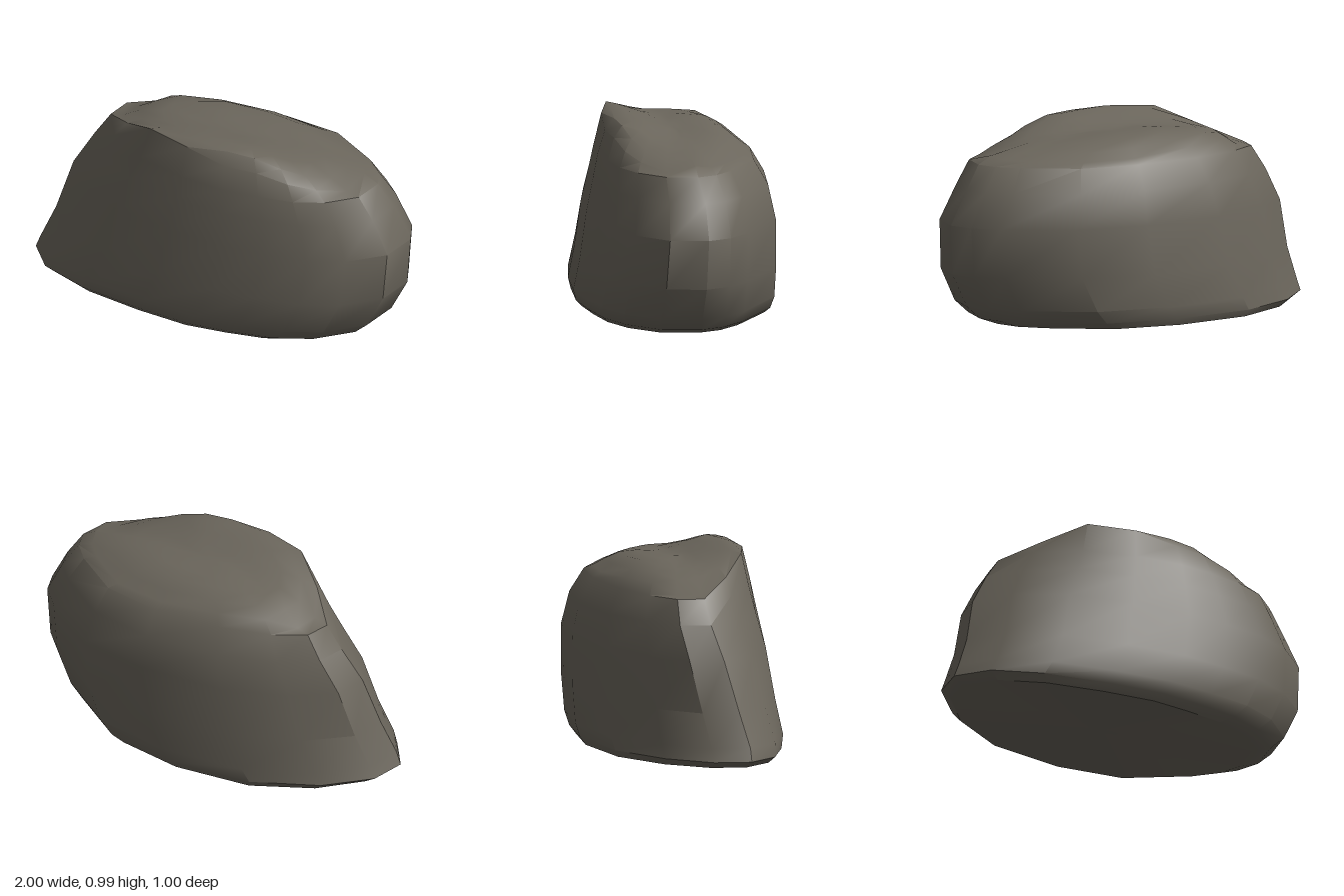
import * as THREE from 'three';
import { toCreasedNormals } from 'three/addons/utils/BufferGeometryUtils.js';

// Plan outline of the boulder, counterclockwise from its left tip (x, z in -1..1)
const outline = [
  [1, 0.06], [0.95, -0.2], [0.83, -0.44], [0.49, -0.88], [0.08, -1], [-0.4, -0.9],
  [-0.75, -0.56], [-0.96, -0.14], [-1, 0.24], [-0.87, 0.56], [-0.6, 0.78],
  [-0.25, 0.92], [0.08, 1], [0.33, 0.97], [0.57, 0.91], [0.77, 0.76], [0.95, 0.46],
];

// Wall sections: y, xMin, xMax, zMin, zMax
const sections = [
  [0, -0.94, 0.73, -0.47, 0.44],
  [0.035, -1, 0.83, -0.49, 0.475],
  [0.1, -0.975, 0.9, -0.5, 0.5],
  [0.27, -0.905, 0.985, -0.49, 0.485],
  [0.52, -0.835, 1, -0.48, 0.46],
  [0.69, -0.735, 0.91, -0.445, 0.425],
  [0.81, -0.655, 0.83, -0.375, 0.4],
];

// Crown profiles: along x, across the middle, and across the ends
const alongX = [[-0.66, 0.81], [-0.47, 0.94], [-0.37, 0.975], [-0.1, 1], [0.22, 0.99], [0.47, 0.95], [0.8, 0.84], [0.88, 0.75]];
const acrossMiddle = [[-0.375, 0.81], [-0.295, 0.88], [-0.2, 0.93], [-0.1, 0.938], [0.02, 0.935], [0.25, 1], [0.315, 0.99], [0.365, 0.93], [0.395, 0.84]];
const acrossEnds = [[-0.375, 0.78], [-0.2, 0.92], [0.02, 1], [0.28, 0.92], [0.39, 0.8]];

function sample(profile, t) {
  if (t <= profile[0][0]) return profile[0][1];
  for (let i = 1; i < profile.length; i++) {
    const [a, ya] = profile[i - 1], [b, yb] = profile[i];
    if (t <= b) return ya + (yb - ya) * (t - a) / (b - a);
  }
  return profile[profile.length - 1][1];
}

function crownHeight(x, z) {
  const end = THREE.MathUtils.clamp((Math.abs(x) - 0.3) / 0.45, 0, 1);
  const across = THREE.MathUtils.lerp(sample(acrossMiddle, z), sample(acrossEnds, z), end);
  return Math.max(0.8, sample(alongX, x) + across - 1);
}

function ring([y, x0, x1, z0, z1]) {
  return outline.map(([u, v]) => [
    (x0 + x1) / 2 + u * (x1 - x0) / 2,
    y,
    // the right-hand tip drifts backward as it rises
    (z0 + z1) / 2 + v * (z1 - z0) / 2 - 0.18 * y * Math.max(0, -u) ** 3,
  ]);
}

function boulderGeometry() {
  const rings = sections.map(ring);
  const shoulder = rings[rings.length - 1];
  const cx = 0.08, cz = 0.02;

  // Crown: shrinking copies of the shoulder, lifted onto the crown surface
  for (const s of [0.9, 0.77, 0.6, 0.4, 0.2]) {
    rings.push(shoulder.map(([x, , z]) => {
      const px = cx + (x - cx) * s, pz = cz + (z - cz) * s;
      return [px, crownHeight(px, pz), pz];
    }));
  }

  const n = outline.length;
  const points = rings.flat();
  const index = [];
  for (let i = 0; i < rings.length - 1; i++) {
    for (let j = 0; j < n; j++) {
      const k = (j + 1) % n;
      const a = i * n + j, b = i * n + k, c = b + n, d = a + n;
      index.push(a, b, c, a, c, d);
    }
  }

  // Close the underside and the top
  const bottom = points.push([-0.1, 0, 0]) - 1;
  const top = points.push([cx, crownHeight(cx, cz), cz]) - 1;
  const last = (rings.length - 1) * n;
  for (let j = 0; j < n; j++) {
    const k = (j + 1) % n;
    index.push(bottom, k, j, top, last + j, last + k);
  }

  const geometry = new THREE.BufferGeometry();
  geometry.setAttribute('position', new THREE.Float32BufferAttribute(points.flat(), 3));
  geometry.setIndex(index);
  return toCreasedNormals(geometry, 0.62);
}

export function createModel() {
  const stone = new THREE.MeshStandardMaterial({ color: 0x6b665c });
  stone.name = 'stone';

  const boulder = new THREE.Mesh(boulderGeometry(), stone);
  boulder.name = 'boulder';

  const group = new THREE.Group();
  group.name = 'rock';
  group.add(boulder);
  return group;
}
